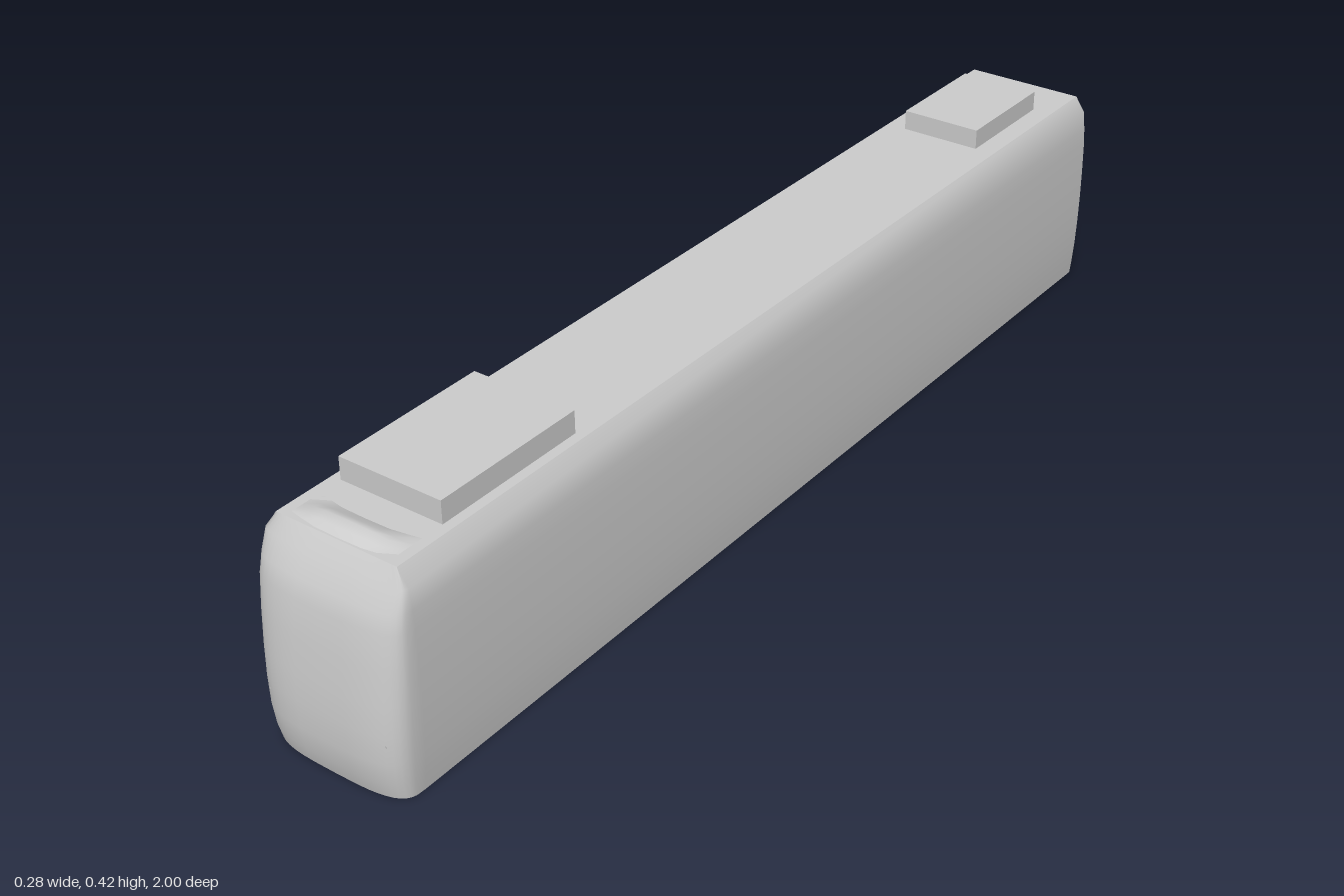
import * as THREE from 'three';

const bodyGrey = new THREE.MeshStandardMaterial({ color: 0xcccccc, side: THREE.DoubleSide });
bodyGrey.name = 'bodyGrey';

const BACK = -1, SHOULDER = 0.935;

// Body levels: height, half width, furthest point of the nose
const LEVELS = [
  [0, 0.132, 0.985], [0.03, 0.135, 0.994], [0.07, 0.138, 0.999], [0.12, 0.14, 0.999],
  [0.17, 0.141, 0.996], [0.23, 0.141, 0.99], [0.29, 0.14, 0.982], [0.32, 0.138, 0.972],
  [0.355, 0.134, 0.954], [0.383, 0.115, SHOULDER],
];

// Surface through a grid of points; it faces along (column step) x (row step)
function grid(cols, rows, point) {
  const pos = [], index = [];
  for (let j = 0; j < rows; j++) for (let i = 0; i < cols; i++) pos.push(...point(i, j));
  for (let j = 0; j < rows - 1; j++) {
    for (let i = 0; i < cols - 1; i++) {
      const a = j * cols + i, b = a + 1, d = a + cols, c = d + 1;
      index.push(a, b, c, a, c, d);
    }
  }
  const geo = new THREE.BufferGeometry();
  geo.setAttribute('position', new THREE.Float32BufferAttribute(pos, 3));
  geo.setIndex(index);
  geo.computeVertexNormals();
  return geo;
}

// Plan outline at one level: along one side, round the nose, back along the other side
const NOSE_STEPS = 20;
function outline([y, w, front]) {
  const pts = [[-w, y, BACK]];
  for (let i = 0; i <= NOSE_STEPS; i++) {
    const a = (i / NOSE_STEPS - 0.5) * Math.PI;
    const s = Math.sin(a), c = Math.max(0, Math.cos(a));
    pts.push([Math.sign(s) * w * Math.abs(s) ** 0.6, y, SHOULDER + (front - SHOULDER) * c ** 0.6]);
  }
  pts.push([w, y, BACK]);
  return pts;
}

export function createModel() {
  const model = new THREE.Group();
  model.name = 'railCar';
  const add = (name, geo, x = 0, y = 0, z = 0) => {
    const mesh = new THREE.Mesh(geo, bodyGrey);
    mesh.name = name;
    mesh.position.set(x, y, z);
    model.add(mesh);
    return mesh;
  };

  // Side walls and nose in one smooth skin, open at the back
  const rings = LEVELS.map(outline);
  add('sidesAndNose', grid(rings[0].length, rings.length, (i, j) => rings[j][i]));

  // Flat roof and floor
  const [roofY, roofW] = LEVELS[LEVELS.length - 1];
  add('roof', grid(2, 2, (i, j) => [(i * 2 - 1) * roofW, roofY, j ? BACK : SHOULDER]));
  const plan = new THREE.Shape(rings[0].map(([x, , z]) => new THREE.Vector2(x, z)));
  add('floor', new THREE.ShapeGeometry(plan).rotateX(Math.PI / 2));

  // Roof equipment boxes
  add('frontRoofUnit', new THREE.BoxGeometry(0.195, 0.043, 0.293), 0, 0.4015, 0.677);
  add('rearRoofUnit', new THREE.BoxGeometry(0.154, 0.039, 0.22), 0, 0.4005, -0.786);

  // Low fairing above the nose
  const fx = [-0.097, -0.07, -0.045, 0, 0.045, 0.07, 0.097];
  const fh = [0, 0.5, 0.9, 1, 0.9, 0.5, 0];
  const fz = [[0.932, 0], [0.922, 0.009], [0.908, 0.015], [0.895, 0.011], [0.875, 0]];
  add('roofFairing', grid(fx.length, fz.length, (i, j) =>
    [fx[i], roofY + fh[i] * fz[j][1], fz[j][0] - 0.01 * (1 - fh[i])]));

  // Small lamps on the nose
  const lamp = (name, x, r, sides, z) => {
    const geo = new THREE.CylinderGeometry(r, r, 0.008, sides).rotateX(Math.PI / 2);
    add(name, geo, x, 0.105, z);
  };
  lamp('leftHeadlamp', 0.105, 0.01, 5, 0.983);
  lamp('rightHeadlamp', -0.105, 0.01, 5, 0.983);
  lamp('markerLamp', -0.08, 0.004, 4, 0.99);

  return model;
}
